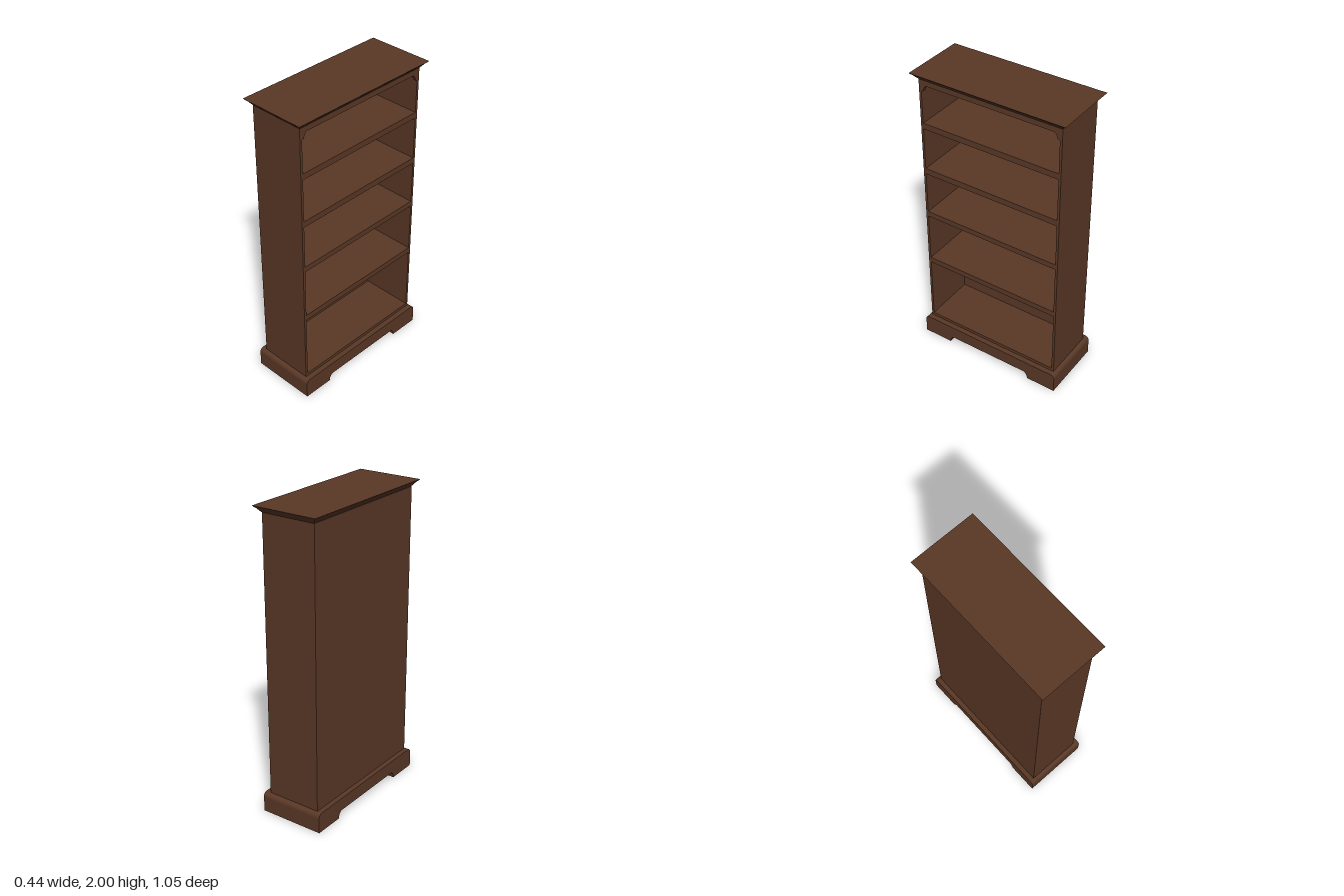
import * as THREE from 'three';

// Bookcase: open side faces +x, width runs along z.
const BACK = -0.187, FRONT = 0.183, HALF_W = 0.488, INNER = 0.472;
const BACK_INNER = BACK + 0.016, BODY_TOP = 1.958;

export function createModel() {
  const wood = new THREE.MeshStandardMaterial({ color: 0x5a3826 });
  wood.name = 'dark wood';
  const model = new THREE.Group();
  model.name = 'bookcase';

  function add(name, geometry) {
    const mesh = new THREE.Mesh(geometry, wood);
    mesh.name = name;
    model.add(mesh);
    return mesh;
  }
  function board(name, x0, x1, y0, y1, z0, z1) {
    add(name, new THREE.BoxGeometry(x1 - x0, y1 - y0, z1 - z0))
      .position.set((x0 + x1) / 2, (y0 + y1) / 2, (z0 + z1) / 2);
  }
  // Extrude a z-y outline along x
  function extrudeX(name, shape, x0, x1) {
    const g = new THREE.ExtrudeGeometry(shape, { depth: x1 - x0, bevelEnabled: false, curveSegments: 8 });
    const mesh = add(name, g);
    mesh.rotation.y = Math.PI / 2;
    mesh.position.x = x0;
  }

  // Carcass: sides, back panel and top
  board('leftSide', BACK, FRONT, 0.13, BODY_TOP, -HALF_W, -INNER);
  board('rightSide', BACK, FRONT, 0.13, BODY_TOP, INNER, HALF_W);
  board('backPanel', BACK, BACK_INNER, 0.13, BODY_TOP, -INNER, INNER);
  board('topBoard', BACK_INNER, FRONT - 0.02, 1.923, BODY_TOP, -INNER, INNER);

  // Shelves: bottom and top height of each
  const shelves = [[0.13, 0.154], [0.6, 0.638], [0.975, 1.012], [1.3, 1.34], [1.624, 1.664]];
  shelves.forEach(([y0, y1], i) =>
    board(i ? 'shelf' + i : 'bottomShelf', BACK_INNER, FRONT, y0, y1, -INNER, INNER));

  // Top rail with curved corner brackets
  const rail = new THREE.Shape();
  rail.moveTo(-INNER, BODY_TOP);
  rail.lineTo(-INNER, 1.88);
  rail.lineTo(-0.458, 1.885);
  rail.quadraticCurveTo(-0.452, 1.915, -0.435, 1.923);
  rail.lineTo(0.435, 1.923);
  rail.quadraticCurveTo(0.452, 1.915, 0.458, 1.885);
  rail.lineTo(INNER, 1.88);
  rail.lineTo(INNER, BODY_TOP);
  rail.closePath();
  extrudeX('topRail', rail, FRONT - 0.02, FRONT);

  // Plinth with rounded shoulders and bracket feet
  const plinth = new THREE.Shape();
  plinth.moveTo(-0.514, 0);
  plinth.lineTo(-0.31, 0);
  plinth.quadraticCurveTo(-0.308, 0.036, -0.283, 0.046);
  plinth.lineTo(0.283, 0.046);
  plinth.quadraticCurveTo(0.308, 0.036, 0.31, 0);
  plinth.lineTo(0.514, 0);
  plinth.lineTo(0.514, 0.103);
  plinth.quadraticCurveTo(0.512, 0.126, 0.49, 0.132);
  plinth.lineTo(-0.49, 0.132);
  plinth.quadraticCurveTo(-0.512, 0.126, -0.514, 0.103);
  plinth.closePath();
  extrudeX('plinth', plinth, -0.22, 0.218);

  // Cornice: a box whose rows flare outward toward the top
  const profile = [[0, BODY_TOP], [0.011, 1.97], [0.022, 1.984], [0.032, 1.992], [0.039, 2]];
  const cornice = new THREE.BoxGeometry(2, 1, 2, 1, profile.length - 1, 1);
  const p = cornice.attributes.position;
  for (let i = 0; i < p.count; i++) {
    const [out, y] = profile[Math.round((p.getY(i) + 0.5) * (profile.length - 1))];
    p.setXYZ(i, p.getX(i) > 0 ? FRONT + out : BACK + 0.004 - out, y, Math.sign(p.getZ(i)) * (HALF_W + out));
  }
  cornice.computeVertexNormals();
  add('cornice', cornice);

  return model;
}
